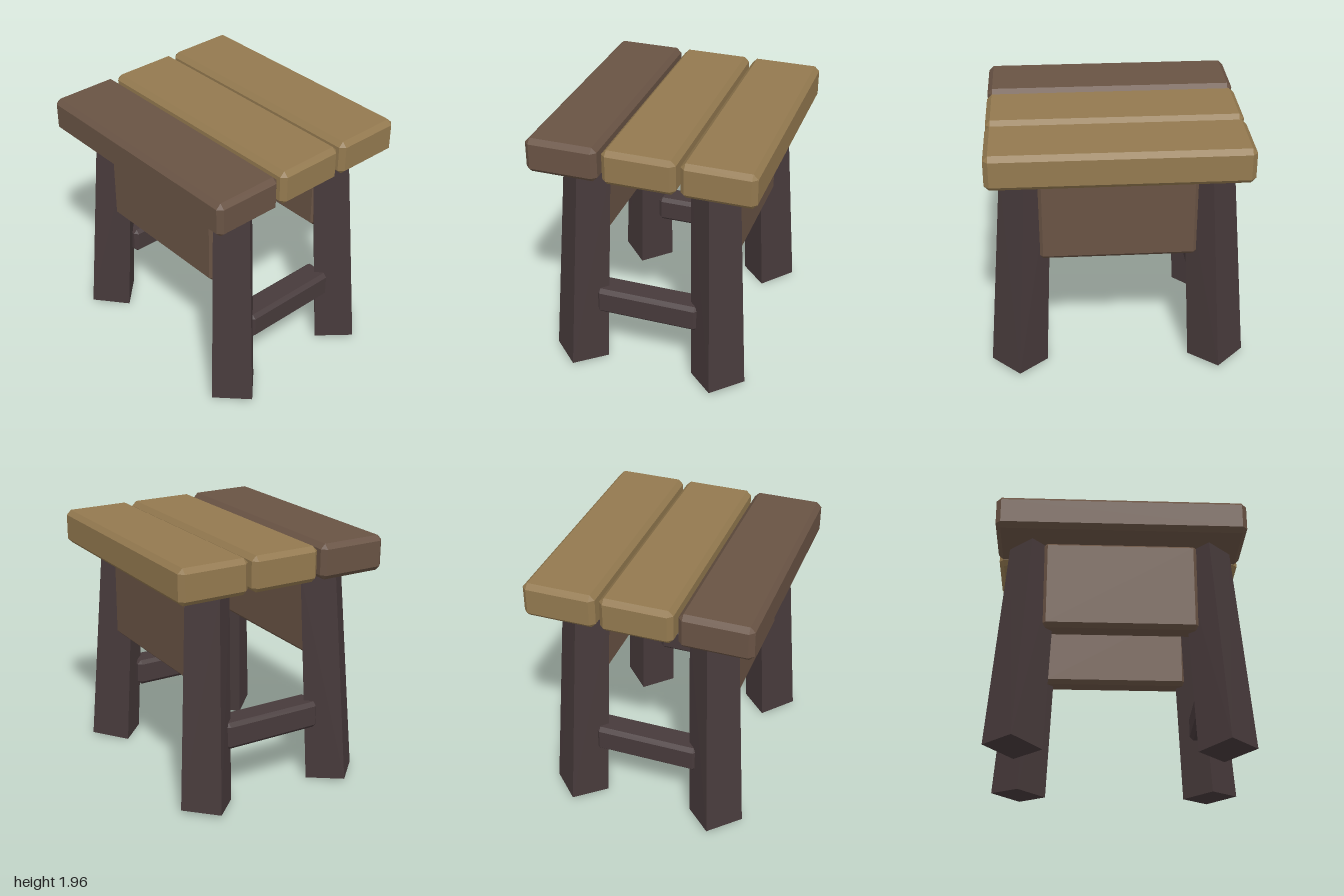
import * as THREE from 'three';
import { ConvexGeometry } from 'three/addons/geometries/ConvexGeometry.js';

const material = (name, color) => {
  const m = new THREE.MeshStandardMaterial({ color });
  m.name = name;
  return m;
};

// Solid from its corner points, one flat normal per face
function hull(name, points, mat) {
  const mesh = new THREE.Mesh(new ConvexGeometry(points), mat);
  mesh.name = name;
  return mesh;
}

// Box between two corners with every edge chamfered by c
function chamferedBox(name, min, max, c, mat) {
  const mid = min.map((v, i) => (v + max[i]) / 2);
  const half = min.map((v, i) => (max[i] - v) / 2);
  const points = [];
  for (const sx of [-1, 1]) for (const sy of [-1, 1]) for (const sz of [-1, 1]) {
    for (let axis = 0; axis < 3; axis++) {
      const p = [sx, sy, sz].map((s, i) => mid[i] + s * (half[i] - (i === axis ? 0 : c)));
      points.push(new THREE.Vector3(...p));
    }
  }
  return hull(name, points, mat);
}

export function createModel() {
  const group = new THREE.Group();
  group.name = 'stool';
  const tan = material('tan wood', 0x93794f);
  const brown = material('brown wood', 0x695344);
  const dark = material('dark wood', 0x473a3b);

  // Three seat planks, the front one darker
  const planks = [
    ['frontPlank', 0.31, 0.86, brown],
    ['middlePlank', -0.278, 0.275, tan],
    ['backPlank', -0.865, -0.31, tan],
  ];
  for (const [name, z0, z1, mat] of planks) {
    group.add(chamferedBox(name, [-0.965, 1.69, z0], [0.965, 1.96, z1], 0.037, mat));
  }

  // Aprons under the front and back of the seat
  group.add(chamferedBox('frontApron', [-0.6, 0.968, 0.44], [0.6, 1.7, 0.62], 0.032, brown));
  group.add(chamferedBox('backApron', [-0.6, 0.968, -0.62], [0.6, 1.7, -0.44], 0.032, brown));

  // Splayed, tapered legs set cornerwise
  const legCorners = [
    [1, 0.03, 0.562], [0.78, 0.03, 0.782], [0.563, 0, 0.56], [0.78, 0, 0.347],
    [0.868, 1.69, 0.5], [0.685, 1.69, 0.68], [0.49, 1.67, 0.5], [0.685, 1.67, 0.31],
  ];
  for (const sx of [-1, 1]) {
    const side = sx > 0 ? 'Left' : 'Right';
    for (const sz of [-1, 1]) {
      const points = legCorners.map(([x, y, z]) => new THREE.Vector3(sx * x, y, sz * z));
      group.add(hull((sz > 0 ? 'front' : 'back') + side + 'Leg', points, dark));
    }
    // Stretcher joining the front and back legs
    const x = sx * 0.72;
    group.add(chamferedBox('stretcher' + side,
      [x - 0.11, 0.445, -0.41], [x + 0.11, 0.66, 0.415], 0.03, dark));
  }
  return group;
}
